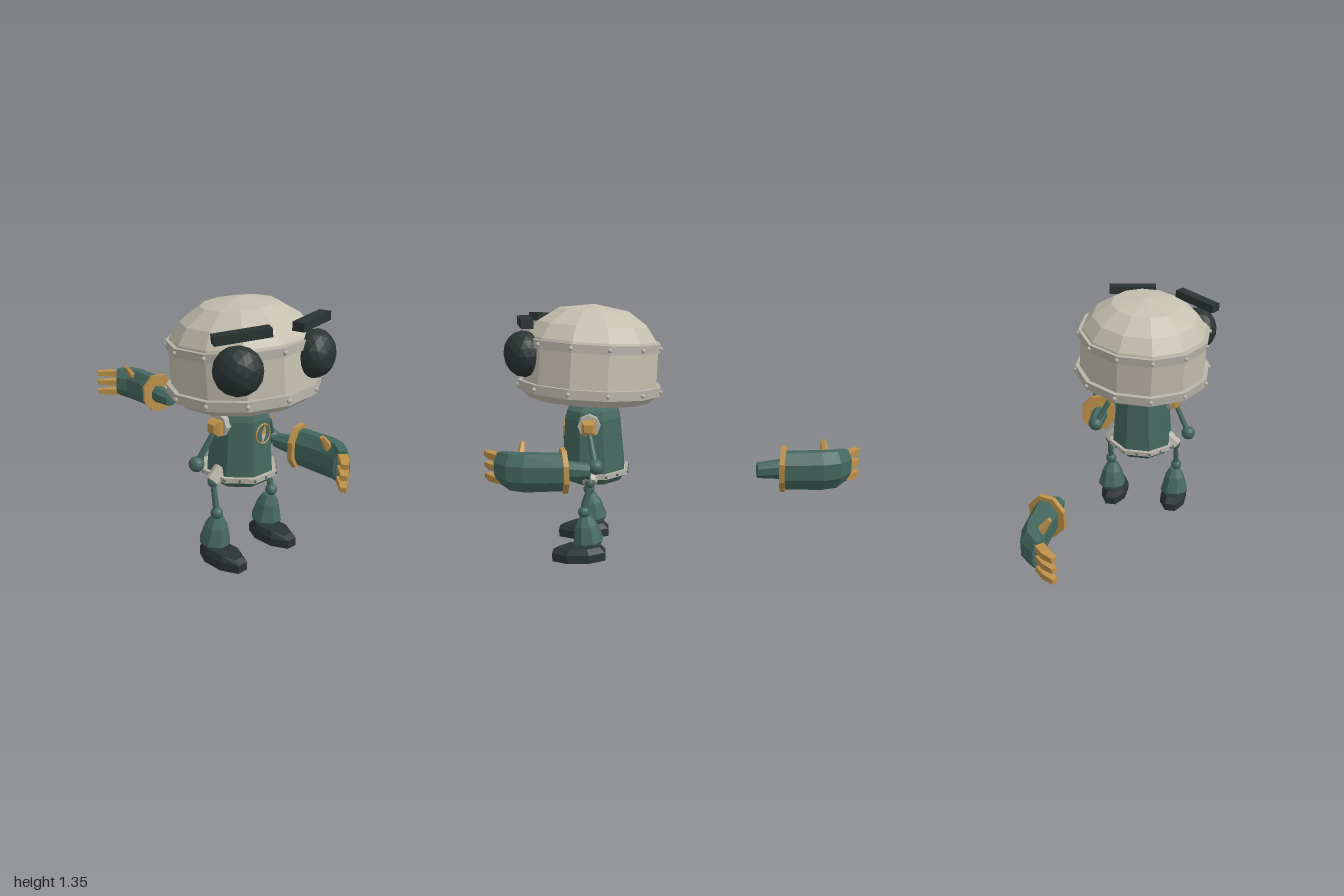
import * as THREE from 'three';

const mat = (name, color) => {
  const m = new THREE.MeshStandardMaterial({ color, flatShading: true });
  m.name = name;
  return m;
};
const V = (x, y, z) => new THREE.Vector3(x, y, z);

// Faceted turned shape; profile runs from bottom to top
function turned(profile, sides, phase = 0) {
  return new THREE.LatheGeometry(profile.map(p => new THREE.Vector2(p[0], p[1])), sides, phase);
}

// Solid lofted through sections [x, y, z, halfWidth, halfHeight, yaw]
function loft(sections, sides) {
  const pos = [], idx = [], k = 1 / Math.cos(Math.PI / sides);
  for (const [x, y, z, w, h, yaw] of sections) {
    for (let j = 0; j < sides; j++) {
      const t = (j + 0.5) / sides * Math.PI * 2, u = w * k * Math.cos(t);
      pos.push(x + u * Math.cos(yaw), y + h * k * Math.sin(t), z - u * Math.sin(yaw));
    }
  }
  const last = (sections.length - 1) * sides;
  for (let j = 0; j < sides; j++) {
    const n = (j + 1) % sides;
    for (let r = 0; r < last; r += sides) {
      idx.push(r + j, r + n, r + sides + n, r + j, r + sides + n, r + sides + j);
    }
    if (j > 0 && j < sides - 1) idx.push(0, j + 1, j, last, last + j, last + j + 1);
  }
  const g = new THREE.BufferGeometry();
  g.setAttribute('position', new THREE.Float32BufferAttribute(pos, 3));
  g.setIndex(idx);
  g.computeVertexNormals();
  return g;
}

// Rod between two points
function rod(a, b, r0, r1, sides = 8) {
  const d = b.clone().sub(a);
  const g = new THREE.CylinderGeometry(r1, r0, d.length(), sides);
  g.applyQuaternion(new THREE.Quaternion().setFromUnitVectors(V(0, 1, 0), d.normalize()));
  const c = a.clone().add(b).multiplyScalar(0.5);
  return g.translate(c.x, c.y, c.z);
}

// Mirror a geometry front to back, keeping faces outward
function mirrorZ(geometry) {
  const g = geometry.clone().scale(1, 1, -1), ix = g.index.array;
  for (let i = 0; i < ix.length; i += 3) [ix[i], ix[i + 1]] = [ix[i + 1], ix[i]];
  g.computeVertexNormals();
  return g;
}

export function createModel() {
  const teal = mat('teal paint', 0x44685f), cream = mat('cream shell', 0xc4bfaf);
  const grey = mat('light grey metal', 0xb7b3a8), gold = mat('gold', 0xbd9149);
  const black = mat('black', 0x2b3433);

  const model = new THREE.Group();
  model.name = 'robot';
  const add = (parent, name, geometry, material, x = 0, y = 0, z = 0) => {
    const m = new THREE.Mesh(geometry, material);
    m.name = name;
    m.position.set(x, y, z);
    parent.add(m);
    return m;
  };
  const ball = r => new THREE.IcosahedronGeometry(r, 2);

  // Head: tilted back and sideways, turned a little
  const tilt = new THREE.Group();
  tilt.name = 'head';
  tilt.position.set(0, 1, 0.435);
  tilt.rotation.set(-0.07, 0, 0.05);
  model.add(tilt);
  const shell = new THREE.Group();
  shell.name = 'headShell';
  shell.rotation.y = -0.227;
  tilt.add(shell);
  add(shell, 'skull', turned([[0, -0.15], [0.325, -0.15], [0.375, -0.105], [0.362, -0.06], [0.36, 0.14],
    [0.35, 0.175], [0.295, 0.25], [0.19, 0.32], [0, 0.35]], 12), cream);
  for (const [name, y, r, h] of [['lowerBand', -0.085, 0.386, 0.024], ['upperBand', 0.143, 0.372, 0.022]]) {
    add(shell, name, turned([[0.35, y - h], [r, y - h], [r, y + h], [0.35, y + h]], 12), grey);
    for (let i = 0; i < 12; i++) {
      const a = i * Math.PI / 6;
      add(shell, 'rivet', new THREE.IcosahedronGeometry(0.012, 1), grey, r * Math.sin(a), y, r * Math.cos(a));
    }
  }

  // Eyes and brows
  for (const [x, y, z, yaw] of [[-0.28, 1.09, 0.675, -0.87], [0.147, 1.11, 0.768, 0.42]]) {
    const eye = add(model, 'eye', ball(1), black, x, y, z);
    eye.scale.set(0.12, 0.12, 0.1);
    eye.rotation.y = yaw;
  }
  for (const [x, y, z, yaw, roll] of [[-0.267, 1.256, 0.68, -0.54, 0.11], [0.125, 1.271, 0.757, 0.22, 0.012]]) {
    const brow = add(model, 'brow', new THREE.BoxGeometry(0.272, 0.044, 0.062), black, x, y, z);
    brow.rotation.set(0, yaw, roll);
  }

  // Body, neck and belt
  const octo = Math.PI / 8;
  add(model, 'neck', new THREE.CylinderGeometry(0.05, 0.055, 0.07, 8), teal, 0, 0.84, 0.435);
  add(model, 'body', turned([[0, 0.402], [0.15, 0.402], [0.182, 0.445], [0.178, 0.47], [0.156, 0.75],
    [0.142, 0.795], [0.085, 0.83], [0, 0.83]], 8, octo), teal, 0, 0, 0.43);
  add(model, 'belt', turned([[0.17, 0.442], [0.2, 0.442], [0.2, 0.467], [0.17, 0.467]], 8, octo), grey, 0, 0, 0.43);
  for (let i = 0; i < 16; i++) {
    const a = i * Math.PI / 8, r = i % 2 ? 0.199 : 0.186;
    add(model, 'beltStud', new THREE.IcosahedronGeometry(0.008, 0), teal, r * Math.sin(a), 0.455, 0.43 + r * Math.cos(a));
  }

  // Compass emblem on the chest
  const emblem = new THREE.Group();
  emblem.name = 'compass';
  emblem.position.set(0.005, 0.68, 0.584);
  emblem.rotation.x = -0.074;
  model.add(emblem);
  add(emblem, 'compassRing', new THREE.TorusGeometry(0.05, 0.0045, 4, 24), gold);
  const half = new THREE.Shape([[-0.015, 0], [0.015, 0], [0, 0.052]].map(p => new THREE.Vector2(...p)));
  const needle = new THREE.ExtrudeGeometry(half, { depth: 0.005, bevelEnabled: false });
  add(emblem, 'needleUp', needle, gold).rotation.z = -0.25;
  add(emblem, 'needleDown', needle, grey).rotation.z = Math.PI - 0.25;

  for (const s of [-1, 1]) {
    // Arm
    const outward = -s * Math.PI / 2;
    add(model, 'shoulderDisc', new THREE.CylinderGeometry(0.06, 0.06, 0.06, 8), grey, s * 0.142, 0.73, 0.44).rotation.z = outward;
    add(model, 'shoulderJoint', turned([[0, 0], [0.053, 0], [0.053, 0.03], [0.03, 0.055], [0, 0.055]], 4, Math.PI / 4),
      gold, s * 0.165, 0.725, 0.44).rotation.z = outward;
    add(model, 'arm', rod(V(s * 0.19, 0.71, 0.44), V(s * 0.278, 0.54, 0.402), 0.014, 0.016), teal);
    add(model, 'elbowBall', ball(0.04), teal, s * 0.278, 0.54, 0.402);

    // Leg
    add(model, 'hip', rod(V(s * 0.14, 0.485, 0.44), V(s * 0.205, 0.432, 0.44), 0.042, 0.038), grey);
    add(model, 'hipBall', ball(0.028), teal, s * 0.2, 0.432, 0.44);
    add(model, 'thigh', rod(V(s * 0.2, 0.43, 0.44), V(s * 0.203, 0.275, 0.475), 0.014, 0.018), teal);
    add(model, 'kneeBall', ball(0.032), teal, s * 0.203, 0.272, 0.475);
    const shin = turned([[0, -0.07], [0.065, -0.07], [0.084, -0.045], [0.06, 0.045], [0.032, 0.095], [0, 0.095]], 8, octo);
    add(model, 'shin', shin, teal, s * 0.195, 0.153, 0.46).rotation.x = 0.1;
    add(model, 'ankleBall', ball(0.035), teal, s * 0.19, 0.085, 0.45);
    const foot = turned([[0, 0], [1, 0], [1, 0.045], [0.8, 0.075], [0, 0.075]], 8, octo);
    foot.scale(0.08, 1, 0.153);
    const p = foot.attributes.position;
    for (let i = 0; i < p.count; i++) {
      if (p.getY(i) > 0.06 && p.getZ(i) > 0.05) p.setY(i, 0.064);
    }
    add(model, 'foot', foot, black, s * 0.187, 0, 0.508);
  }

  // Front hand, and the loose hand mirrored behind
  const parts = [
    ['wrist', loft([[0.29, 0.52, 0.43, 0.04, 0.037, 0], [0.29, 0.527, 0.56, 0.045, 0.05, 0]], 8), teal],
    ['cuff', loft([[0.297, 0.53, 0.553, 0.099, 0.112, 0.25], [0.303, 0.53, 0.578, 0.099, 0.112, 0.25]], 8), gold],
    ['palm', loft([[0.306, 0.525, 0.565, 0.068, 0.095, 0.2], [0.312, 0.525, 0.755, 0.061, 0.1, -0.1],
      [0.298, 0.528, 0.83, 0.058, 0.097, -0.4], [0.24, 0.535, 0.897, 0.042, 0.082, -0.75]], 8), teal],
    ['thumb', rod(V(0.275, 0.59, 0.785), V(0.222, 0.662, 0.78), 0.027, 0.013, 5), gold],
  ];
  for (const y of [0.587, 0.528, 0.466]) {
    parts.push(['finger', loft([[0.25, y, 0.89, 0.024, 0.017, -0.8], [0.2, y, 0.945, 0.024, 0.017, -0.85],
      [0.15, y, 0.982, 0.015, 0.013, -1]], 4), gold]);
  }
  for (const [groupName, geo] of [['frontHand', g => g], ['looseHand', mirrorZ]]) {
    const hand = new THREE.Group();
    hand.name = groupName;
    model.add(hand);
    for (const [name, g, m] of parts) add(hand, name, geo(g), m);
  }
  return model;
}
